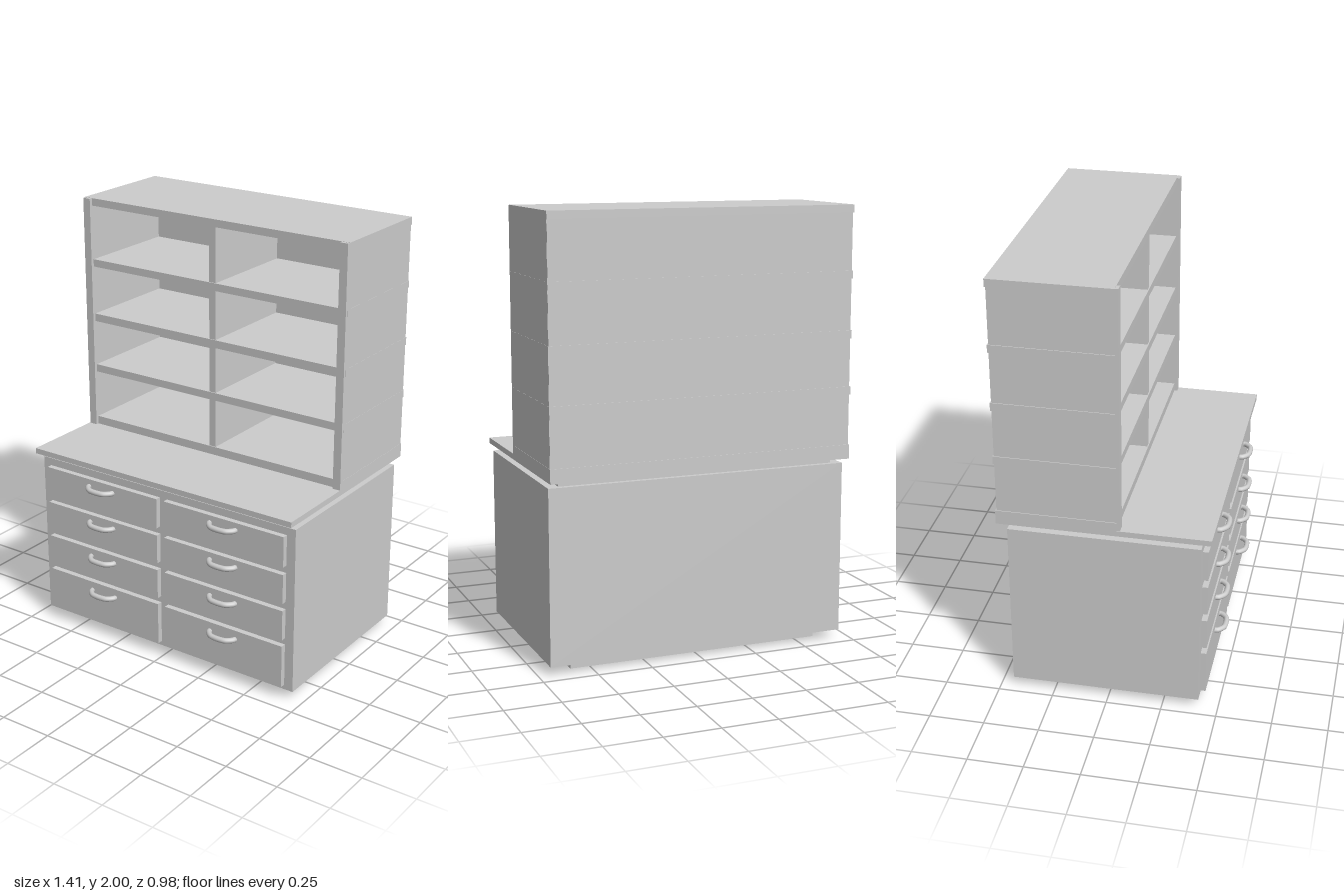
import * as THREE from 'three';

const material = new THREE.MeshStandardMaterial({ color: 0xcccccc });

// Box given by its lower and upper limits on each axis
function slab(parent, name, [x0, x1], [y0, y1], [z0, z1]) {
  const mesh = new THREE.Mesh(new THREE.BoxGeometry(x1 - x0, y1 - y0, z1 - z0), material);
  mesh.position.set((x0 + x1) / 2, (y0 + y1) / 2, (z0 + z1) / 2);
  mesh.name = name;
  parent.add(mesh);
  return mesh;
}

// Bowed bar handle: two angled legs and a straight grip
function handleGeometry() {
  const points = [
    [-0.068, 0], [-0.066, 0.012], [-0.04, 0.037], [-0.015, 0.042],
    [0.015, 0.042], [0.04, 0.037], [0.066, 0.012], [0.068, 0],
  ].map(([x, z]) => new THREE.Vector3(x, 0, z));
  return new THREE.TubeGeometry(new THREE.CatmullRomCurve3(points), 28, 0.0125, 12);
}

export function createModel() {
  const model = new THREE.Group();
  model.name = 'hutchCabinet';

  // Lower cabinet with recessed plinth, neck and worktop
  const base = new THREE.Group();
  base.name = 'baseCabinet';
  model.add(base);
  slab(base, 'plinth', [-0.6, 0.59], [0, 0.045], [-0.38, 0.35]);
  slab(base, 'carcass', [-0.7, 0.7], [0.04, 0.832], [-0.443, 0.412]);
  slab(base, 'neck', [-0.65, 0.648], [0.83, 0.862], [-0.42, 0.39]);
  slab(base, 'worktop', [-0.709, 0.705], [0.86, 0.886], [-0.49, 0.458]);

  // Two columns of drawers, the bottom row taller: [bottom, top, handle height]
  const rows = [[0.062, 0.266, 0.222], [0.297, 0.441, 0.402], [0.476, 0.616, 0.58], [0.652, 0.796, 0.76]];
  const grip = handleGeometry();
  for (const side of [-1, 1]) {
    for (const [bottom, top, grab] of rows) {
      const drawer = new THREE.Group();
      drawer.name = 'drawer';
      base.add(drawer);
      const xs = side < 0 ? [-0.658, -0.02] : [0.02, 0.656];
      slab(drawer, 'drawerFront', xs, [bottom, top], [0.405, 0.438]);
      const handle = new THREE.Mesh(grip, material);
      handle.name = 'drawerHandle';
      handle.position.set(side * 0.34, grab, 0.436);
      drawer.add(handle);
    }
  }

  // Open shelving on the rear of the worktop
  const hutch = new THREE.Group();
  hutch.name = 'hutch';
  model.add(hutch);
  slab(hutch, 'rightSide', [-0.705, -0.667], [0.886, 1.999], [-0.485, 0.06]);
  slab(hutch, 'leftSide', [0.667, 0.705], [0.886, 1.999], [-0.485, 0.06]);
  slab(hutch, 'backPanel', [-0.67, 0.704], [0.886, 1.999], [-0.487, -0.46]);

  // Shelves reach just through the sides and back
  const shelves = [[0.886, 0.925], [1.155, 1.191], [1.408, 1.445], [1.675, 1.71], [1.965, 2]];
  for (const ys of shelves) slab(hutch, 'shelf', [-0.709, 0.706], ys, [-0.49, 0.045]);

  // Middle divider in every bay
  for (let i = 0; i < shelves.length - 1; i++) {
    slab(hutch, 'divider', [-0.01, 0.025], [shelves[i][1], shelves[i + 1][0]], [-0.47, 0.04]);
  }

  return model;
}
